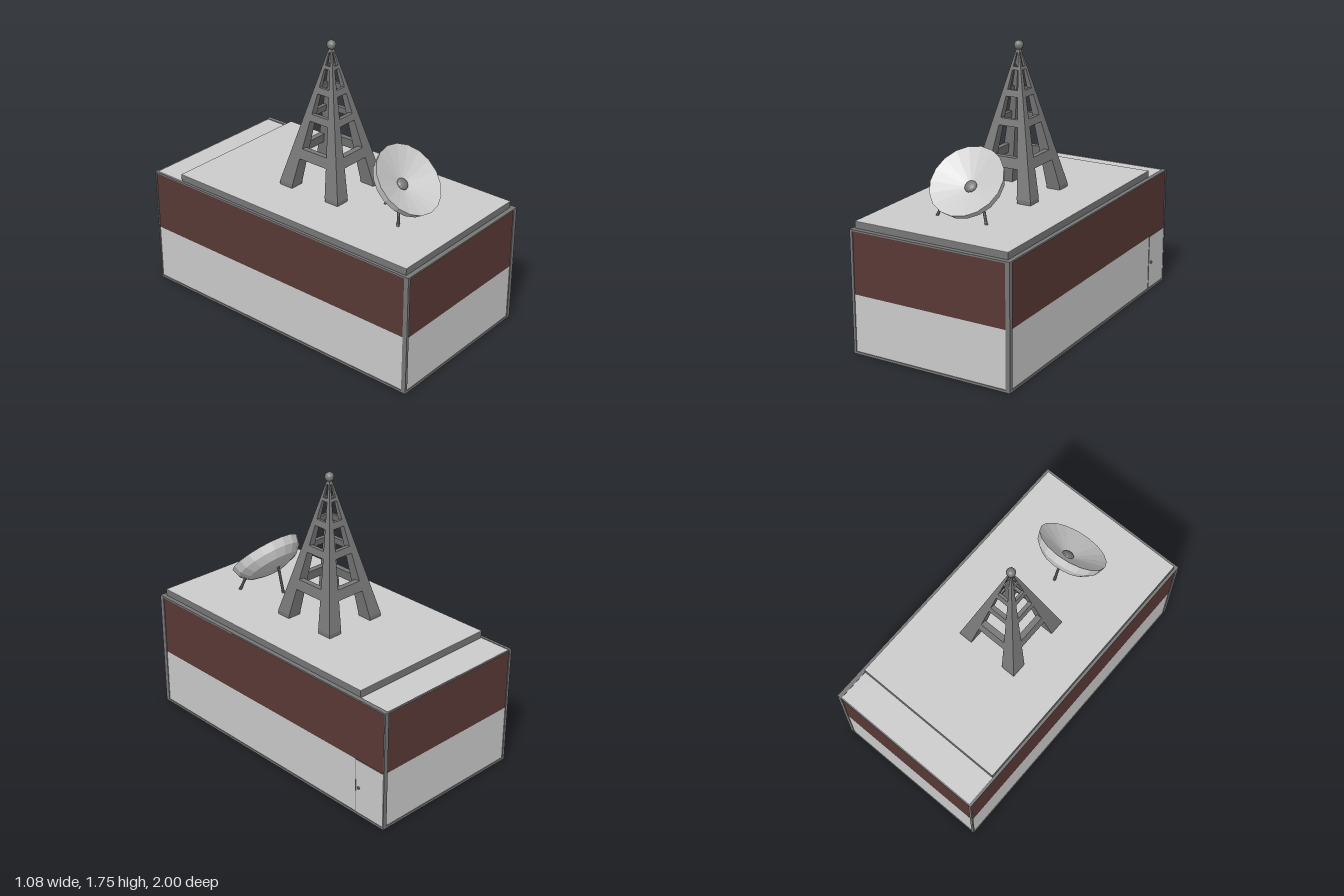
import * as THREE from 'three';

const mat = (color) => new THREE.MeshStandardMaterial({ color, flatShading: true });

export function createModel() {
  const model = new THREE.Group();
  const light = mat(0xcccccc), dark = mat(0x777777), maroon = mat(0x593936);

  const add = (name, geometry, material, parent = model) => {
    const mesh = new THREE.Mesh(geometry, material);
    mesh.name = name;
    parent.add(mesh);
    return mesh;
  };
  const group = (name) => {
    const g = new THREE.Group();
    g.name = name;
    model.add(g);
    return g;
  };

  // Block between two rectangles [x0, x1, z0, z1] at heights y0 and y1
  const frustum = (y0, y1, a, b = a) => {
    const geo = new THREE.BoxGeometry(1, 1, 1), p = geo.attributes.position;
    for (let i = 0; i < p.count; i++) {
      const r = p.getY(i) < 0 ? a : b;
      p.setXYZ(i, r[p.getX(i) < 0 ? 0 : 1], p.getY(i) < 0 ? y0 : y1, r[p.getZ(i) < 0 ? 2 : 3]);
    }
    geo.computeVertexNormals();
    return geo;
  };

  // Thin rod between two points
  const rod = (name, from, to, radius, parent) => {
    const a = new THREE.Vector3(...from), b = new THREE.Vector3(...to);
    const mesh = add(name, new THREE.CylinderGeometry(radius, radius, a.distanceTo(b), 8), dark, parent);
    mesh.position.copy(a).lerp(b, 0.5);
    mesh.quaternion.setFromUnitVectors(new THREE.Vector3(0, 1, 0), b.sub(a).normalize());
  };

  // Walls, slightly recessed behind the edge frame
  const W = 0.533, inset = 0.005;
  const wall = [-W + inset, W - inset, -1 + inset, 1 - inset];
  add('lowerWalls', frustum(0.012, 0.373, wall), light);
  add('upperWalls', frustum(0.373, 0.762, wall), maroon);
  add('lowRoof', frustum(0.762, 0.768, wall), light);
  add('floor', frustum(0, 0.015, [-W, W, -1, 1]), dark);

  // Edge frame: corner posts and top rails
  const frame = group('edgeFrame');
  const xs = [[-W, -0.515], [0.505, W]], zs = [[-1, -0.99], [0.97, 1]];
  for (const x of xs) {
    for (const z of zs) add('cornerPost', frustum(0.015, 0.762, [...x, ...z]), dark, frame);
    add('sideTopRail', frustum(0.762, 0.772, [...x, -1, 1]), dark, frame);
  }
  for (const z of zs) add('endTopRail', frustum(0.762, 0.772, [-0.515, 0.505, ...z]), dark, frame);

  // Raised roof deck with a light top
  const deck = [-0.515, 0.505, -0.78, 0.97];
  add('roofDeckEdge', frustum(0.765, 0.813, deck), dark);
  add('roofDeckTop', frustum(0.813, 0.815, deck), light);

  // Door near the back of the +x wall
  const door = group('door');
  add('doorPanel', frustum(0.015, 0.37, [0.52, 0.53, -0.99, -0.775]), light, door);
  add('doorJamb', frustum(0.015, 0.375, [0.52, 0.531, -0.775, -0.771]), dark, door);
  add('doorLintel', frustum(0.37, 0.375, [0.52, 0.531, -0.99, -0.775]), dark, door);
  add('doorKnob', new THREE.SphereGeometry(0.009, 8, 6), dark, door).position.set(0.534, 0.19, -0.8);

  // Lattice tower: outer and inner half widths shrink with height
  const tower = group('tower');
  const base = 0.815, foot = 0.84, top = 1.7, sx = 0.94;
  const outer = (y) => THREE.MathUtils.mapLinear(Math.max(y, foot), foot, top, 0.228, 0.01);
  const inner = (y) => THREE.MathUtils.mapLinear(y, base, top, 0.132, 0.002);
  const span = (s, a, b) => (s > 0 ? [a, b] : [-b, -a]);
  for (const i of [-1, 1]) for (const k of [-1, 1]) {
    const section = (y) => [
      ...span(i, inner(y) * sx, outer(y) * sx), ...span(k, inner(y), outer(y))];
    add('towerFoot', frustum(base, foot, section(base), section(foot)), dark, tower);
    add('towerLeg', frustum(foot, top, section(foot), section(top)), dark, tower);
  }
  for (const [y0, y1] of [[1.01, 1.073], [1.25, 1.293], [1.42, 1.46], [1.575, 1.595], [1.675, 1.7]]) {
    const back = (y) => outer(y) - 0.5 * (outer(y) - inner(y));
    for (const s of [-1, 1]) {
      const alongX = (y) => [-inner(y) * sx, inner(y) * sx, ...span(s, back(y), outer(y))];
      const alongZ = (y) => [...span(s, back(y) * sx, outer(y) * sx), -inner(y), inner(y)];
      add('towerRail', frustum(y0, y1, alongX(y0), alongX(y1)), dark, tower);
      add('towerRail', frustum(y0, y1, alongZ(y0), alongZ(y1)), dark, tower);
    }
  }
  add('towerBall', new THREE.SphereGeometry(0.029, 12, 8), dark, tower).position.y = 1.72;

  // Dish tilted up towards the front: rounded back, shallow cone inside
  const dish = group('dish');
  const profile = [[0, -0.132], [0.09, -0.126], [0.172, -0.1], [0.218, -0.055], [0.233, 0], [0, -0.08]];
  add('dishBowl', new THREE.LatheGeometry(
    profile.map(([r, y]) => new THREE.Vector2(r, y)), 18), light, dish);
  const receiver = add('dishReceiver', new THREE.SphereGeometry(0.04, 12, 8), dark, dish);
  receiver.scale.y = 0.6;
  receiver.position.y = -0.07;
  dish.position.set(0, 1.035, 0.59);
  dish.rotation.x = Math.PI / 4;

  // Three struts holding the dish
  const stand = group('dishStand');
  rod('backStrut', [0, 0.812, 0.42], [0, 0.98, 0.465], 0.009, stand);
  for (const s of [-1, 1]) {
    rod('frontStrut', [s * 0.168, 0.812, 0.645], [s * 0.125, 0.925, 0.615], 0.009, stand);
  }

  return model;
}
